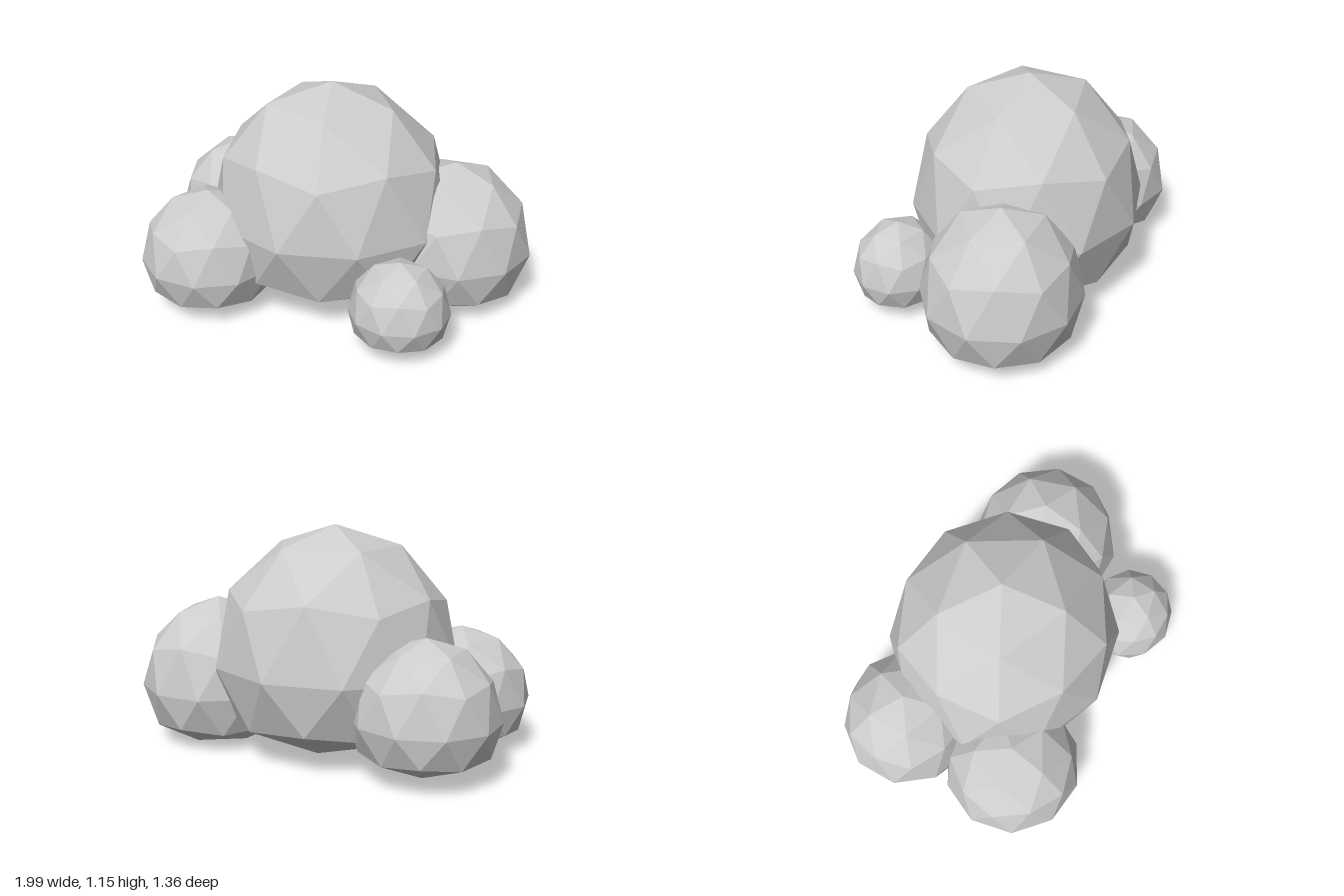
import * as THREE from 'three';

const cloudGrey = new THREE.MeshStandardMaterial({ color: 0xcccccc, flatShading: true });
cloudGrey.name = 'cloudGrey';

// name, centre [x, y, z], radii [x, y, z], heading of the facets in degrees
const PUFFS = [
  ['mainPuff', [-0.05, 0.46, -0.08], [0.64, 0.695, 0.6], 9],
  ['leftPuff', [0.59, 0.29, -0.165], [0.41, 0.465, 0.4], 21],
  ['frontRightPuff', [-0.613, 0.25, 0.26], [0.36, 0.375, 0.355], 27],
  ['backRightPuff', [-0.64, 0.29, -0.335], [0.365, 0.39, 0.35], 2],
  ['frontLeftPuff', [0.45, 0.205, 0.44], [0.253, 0.267, 0.238], 42],
];

// Faceted ball with a corner at the top and a flattened underside
function puffGeometry(radii, heading) {
  const geo = new THREE.IcosahedronGeometry(1, 1);
  geo.rotateZ(Math.atan(2 / (1 + Math.sqrt(5))));
  geo.rotateY(THREE.MathUtils.degToRad(36 - heading));
  const pos = geo.attributes.position;
  for (let i = 0; i < pos.count; i++) {
    const y = pos.getY(i);
    if (y < 0) pos.setY(i, y + 0.38 * y * y);
  }
  geo.scale(...radii);
  geo.computeVertexNormals();
  return geo;
}

export function createModel() {
  const cloud = new THREE.Group();
  cloud.name = 'cloud';
  for (const [name, centre, radii, heading] of PUFFS) {
    const puff = new THREE.Mesh(puffGeometry(radii, heading), cloudGrey);
    puff.name = name;
    puff.position.set(...centre);
    cloud.add(puff);
  }
  return cloud;
}
